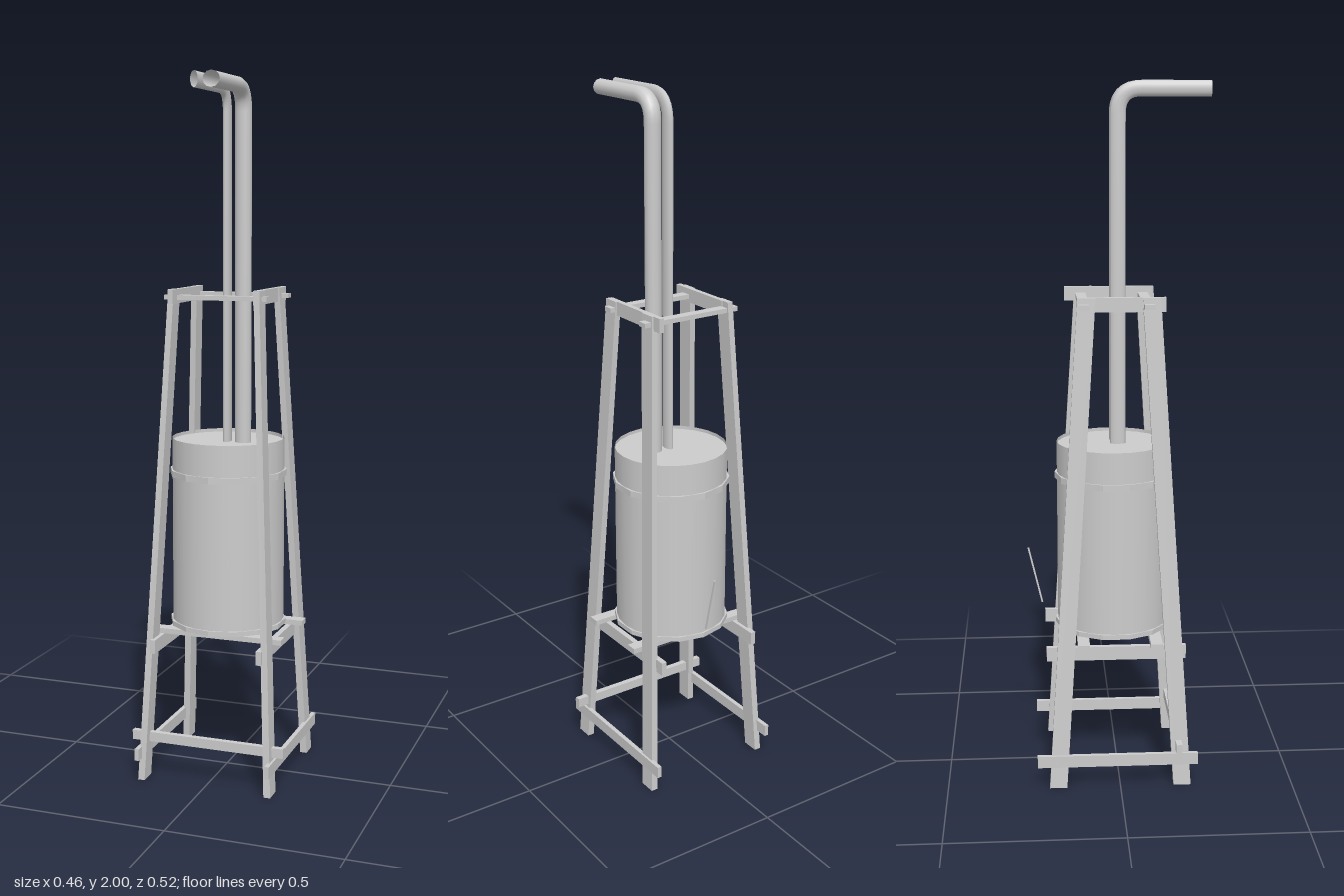
import * as THREE from 'three';

export function createModel() {
  const model = new THREE.Group();
  const smooth = new THREE.MeshStandardMaterial({ color: 0xcccccc, side: THREE.DoubleSide });
  const flat = new THREE.MeshStandardMaterial({ color: 0xcccccc, flatShading: true });

  const add = (name, geometry, material = flat, x = 0, y = 0, z = 0) => {
    const mesh = new THREE.Mesh(geometry, material);
    mesh.name = name;
    mesh.position.set(x, y, z);
    model.add(mesh);
    return mesh;
  };
  // plank given by its extents along each axis
  const plank = (name, [x0, x1], [y0, y1], [z0, z1]) =>
    add(name, new THREE.BoxGeometry(x1 - x0, y1 - y0, z1 - z0), flat,
      (x0 + x1) / 2, (y0 + y1) / 2, (z0 + z1) / 2);

  // Four board legs leaning inward: a box sheared along its height
  const legHeight = 1.42;
  for (const sx of [-1, 1]) for (const sz of [-1, 1]) {
    const g = new THREE.BoxGeometry(0.02, legHeight, 0.05);
    const p = g.attributes.position;
    for (let i = 0; i < p.count; i++) {
      const t = p.getY(i) / legHeight + 0.5;
      const taper = 1 - 0.15 * t;
      p.setX(i, p.getX(i) * taper + sx * (0.192 - 0.066 * t));
      p.setZ(i, p.getZ(i) + sz * (0.18 - 0.09 * t));
    }
    g.computeVertexNormals();
    add('leg', g, flat, 0, legHeight / 2, 0);
  }

  // Low braces: both sides and the front, the back stays open
  plank('lowSideBrace', [-0.204, -0.191], [0.065, 0.1], [-0.24, 0.225]);
  plank('lowSideBrace', [0.191, 0.204], [0.065, 0.1], [-0.24, 0.225]);
  plank('lowFrontBrace', [-0.23, 0.23], [0.11, 0.138], [0.16, 0.177]);

  // Platform under the barrel
  for (const s of [-1, 1]) {
    plank('platformSideBeam', [s * 0.16 - 0.008, s * 0.16 + 0.008], [0.38, 0.42], [-0.21, 0.19]);
    plank('platformPlank', [-0.2, 0.205], [0.422, 0.437], [s * 0.104 - 0.017, s * 0.104 + 0.017]);
  }

  // Frame at the top of the legs
  plank('topSideRail', [-0.13, -0.115], [1.38, 1.42], [-0.09, 0.13]);
  plank('topSideRail', [0.115, 0.13], [1.38, 1.42], [-0.145, 0.11]);
  plank('topBackRail', [-0.155, 0.155], [1.39, 1.403], [-0.112, -0.083]);
  plank('topFrontRail', [-0.155, 0.15], [1.39, 1.403], [0.068, 0.097]);

  // Barrel: wall, floor, lid sunk slightly below the rim, and hoops
  const R = 0.163, bz = -0.01;
  add('barrelWall', new THREE.CylinderGeometry(R, R, 0.545, 24, 1, true), smooth, 0, 0.7175, bz);
  for (const [name, y] of [['barrelFloor', 0.45], ['barrelLid', 0.98]]) {
    add(name, new THREE.CircleGeometry(R, 24), smooth, 0, y, bz).rotation.x = -Math.PI / 2;
  }
  for (const [name, y, h] of [['barrelHoop', 0.89, 0.018], ['barrelBaseRim', 0.447, 0.014]]) {
    const r = R + 0.007;
    const profile = [[R - 0.002, -h / 2], [r, -h / 2], [r, h / 2], [R - 0.002, h / 2]];
    const pts = profile.map(([a, b]) => new THREE.Vector2(a, b));
    add(name, new THREE.LatheGeometry(pts, 14), flat, 0, y, bz);
  }

  // Two pipes rising from the barrel and bending forward
  const path = new THREE.CurvePath();
  const v = (y, z) => new THREE.Vector3(0, y, z);
  path.add(new THREE.LineCurve3(v(0.97, 0.004), v(1.91, 0.004)));
  path.add(new THREE.QuadraticBezierCurve3(v(1.91, 0.004), v(1.978, 0.004), v(1.978, 0.07)));
  path.add(new THREE.LineCurve3(v(1.978, 0.07), v(1.978, 0.263)));
  for (const [name, x, squash] of [['mainPipe', 0.05, 1.1], ['slimPipe', 0.002, 0.5]]) {
    const pipe = add(name, new THREE.TubeGeometry(path, 90, 0.022, 12), smooth, x);
    pipe.scale.x = squash;
  }

  // Loose thin slat behind the barrel
  const slat = add('looseSlat', new THREE.BoxGeometry(0.003, 0.174, 0.005), flat, 0.021, 0.577, -0.239);
  slat.rotation.x = -0.23;

  return model;
}
